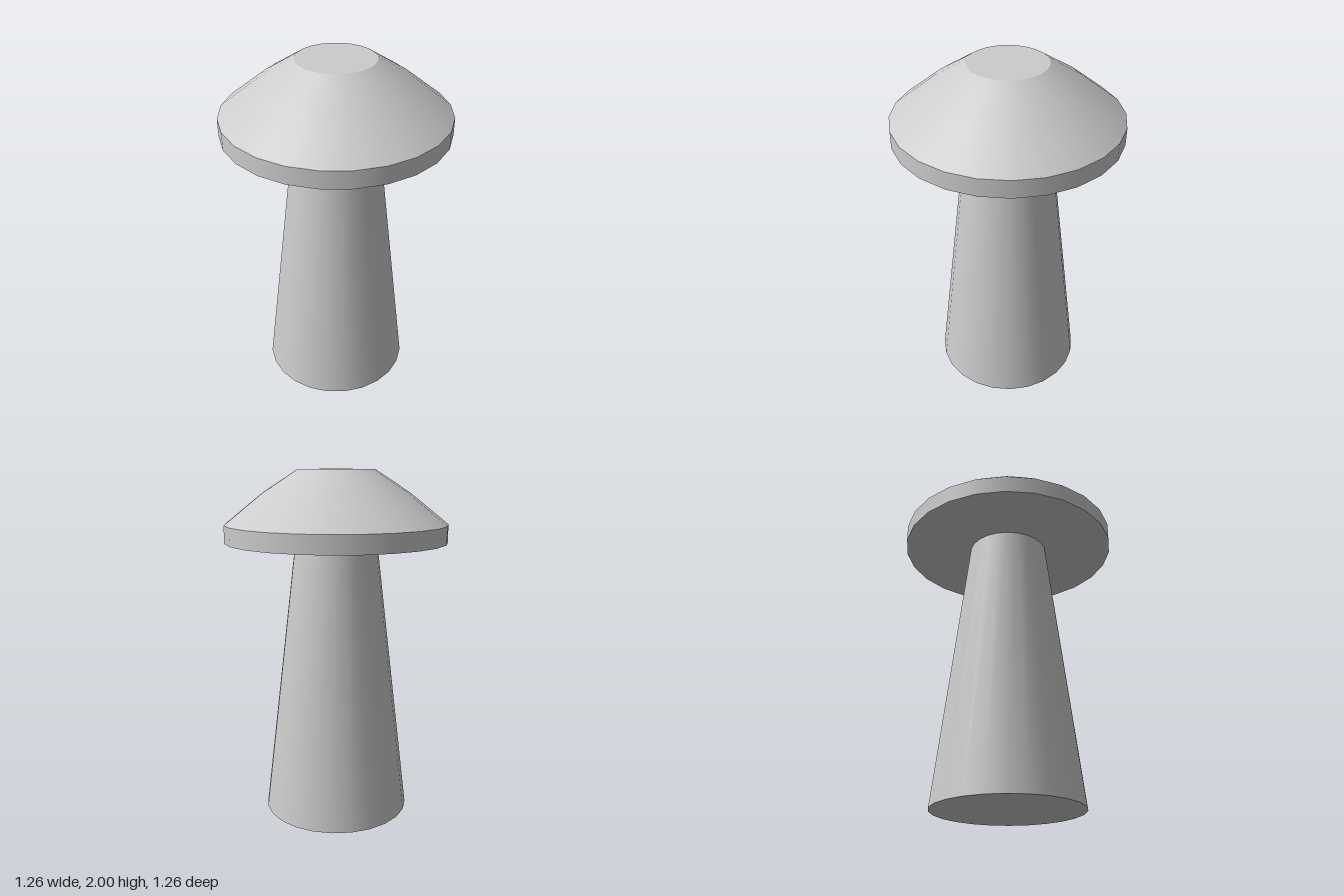
import * as THREE from 'three';

const SIDES = 24;

export function createModel() {
  const group = new THREE.Group();
  const material = new THREE.MeshStandardMaterial({ color: 0xcccccc });

  const add = (name, geometry, y = 0) => {
    const mesh = new THREE.Mesh(geometry, material);
    mesh.name = name;
    mesh.position.y = y;
    group.add(mesh);
  };

  // Tapered stem, closed at the foot
  add('stem', new THREE.CylinderGeometry(0.233, 0.425, 1.6, SIDES), 0.8);

  // Straight rim of the cap with its flat underside
  add('capRim', new THREE.CylinderGeometry(0.63, 0.63, 0.1, SIDES), 1.65);

  // Slightly bulging slope of the cap
  const slope = [[0.63, 1.7], [0.41, 1.875], [0.216, 2]].map(([r, y]) => new THREE.Vector2(r, y));
  add('capSlope', new THREE.LatheGeometry(slope, SIDES));

  // Flat top of the cap
  add('capTop', new THREE.CircleGeometry(0.216, SIDES).rotateX(-Math.PI / 2), 2);

  return group;
}
